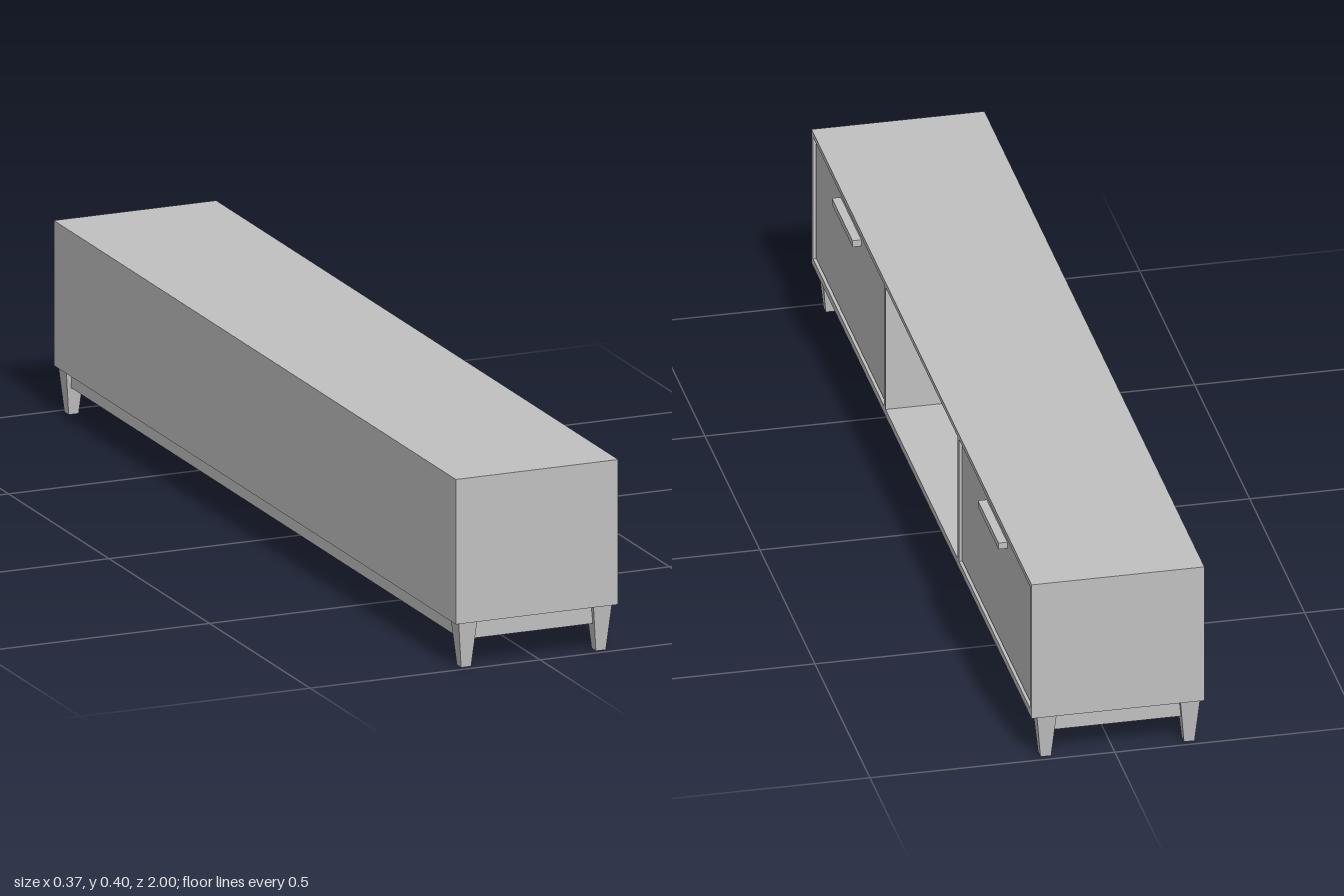
import * as THREE from 'three';

export function createModel() {
  const model = new THREE.Group();
  model.name = 'mediaCabinet';
  const grey = new THREE.MeshStandardMaterial({ color: 0xc0c0c0 });
  grey.name = 'plain grey';

  // Box given by its lower and upper limits on each axis
  function box(name, [x0, x1], [y0, y1], [z0, z1], parent = model) {
    const mesh = new THREE.Mesh(new THREE.BoxGeometry(x1 - x0, y1 - y0, z1 - z0), grey);
    mesh.position.set((x0 + x1) / 2, (y0 + y1) / 2, (z0 + z1) / 2);
    mesh.name = name;
    parent.add(mesh);
    return mesh;
  }
  const mirrored = (s, a, b) => (s > 0 ? [a, b] : [-b, -a]);

  const back = -0.183, front = 0.17, bottom = 0.095, top = 0.396, t = 0.013;
  const inner = [bottom + t + 0.003, top - t + 0.002];

  // Cabinet shell
  box('topPanel', [back, front], [inner[1], top], [-1, 1]);
  box('bottomPanel', [back, front], [bottom, inner[0]], [-1, 1]);
  box('backPanel', [back, back + t], inner, [-1 + t, 1 - t]);

  for (const s of [1, -1]) {
    const side = s > 0 ? 'left' : 'right';
    box(side + 'SidePanel', [back, front], inner, mirrored(s, 1 - t, 1));
    box(side + 'Divider', [back + t, front], inner, mirrored(s, 0.326, 0.341));

    // Inset door with a narrow gap all round, and its bar handle
    const door = new THREE.Group();
    door.name = side + 'Door';
    model.add(door);
    box('doorPanel', [front - 0.02, front - 0.005], [inner[0] + 0.004, inner[1] - 0.004],
      mirrored(s, 0.346, 0.982), door);
    box('handle', [front - 0.005, 0.183], [0.353, 0.367], mirrored(s, 0.57, 0.757), door);
  }

  // Base rails between the legs
  const legX = [-0.155, 0.138], legZ = 0.976, h = 0.008;
  const railY = [0.057, bottom];
  legX.forEach((x, i) =>
    box(i ? 'frontRail' : 'backRail', [x - h, x + h], railY, [-legZ, legZ]));
  for (const s of [1, -1]) {
    box(s > 0 ? 'leftRail' : 'rightRail', [legX[0] + h, legX[1] - h], railY,
      mirrored(s, legZ - h, legZ + h));
  }

  // Square tapered legs
  const legGeometry = new THREE.BoxGeometry(0.04, bottom, 0.04);
  const p = legGeometry.attributes.position;
  for (let i = 0; i < p.count; i++) {
    if (p.getY(i) < 0) p.setXYZ(i, p.getX(i) * 0.54, p.getY(i), p.getZ(i) * 0.54);
  }
  legGeometry.computeVertexNormals();
  for (const x of legX) {
    for (const z of [-legZ, legZ]) {
      const leg = new THREE.Mesh(legGeometry, grey);
      leg.name = (x > 0 ? 'front' : 'back') + (z > 0 ? 'Left' : 'Right') + 'Leg';
      leg.position.set(x, bottom / 2, z);
      model.add(leg);
    }
  }
  return model;
}
